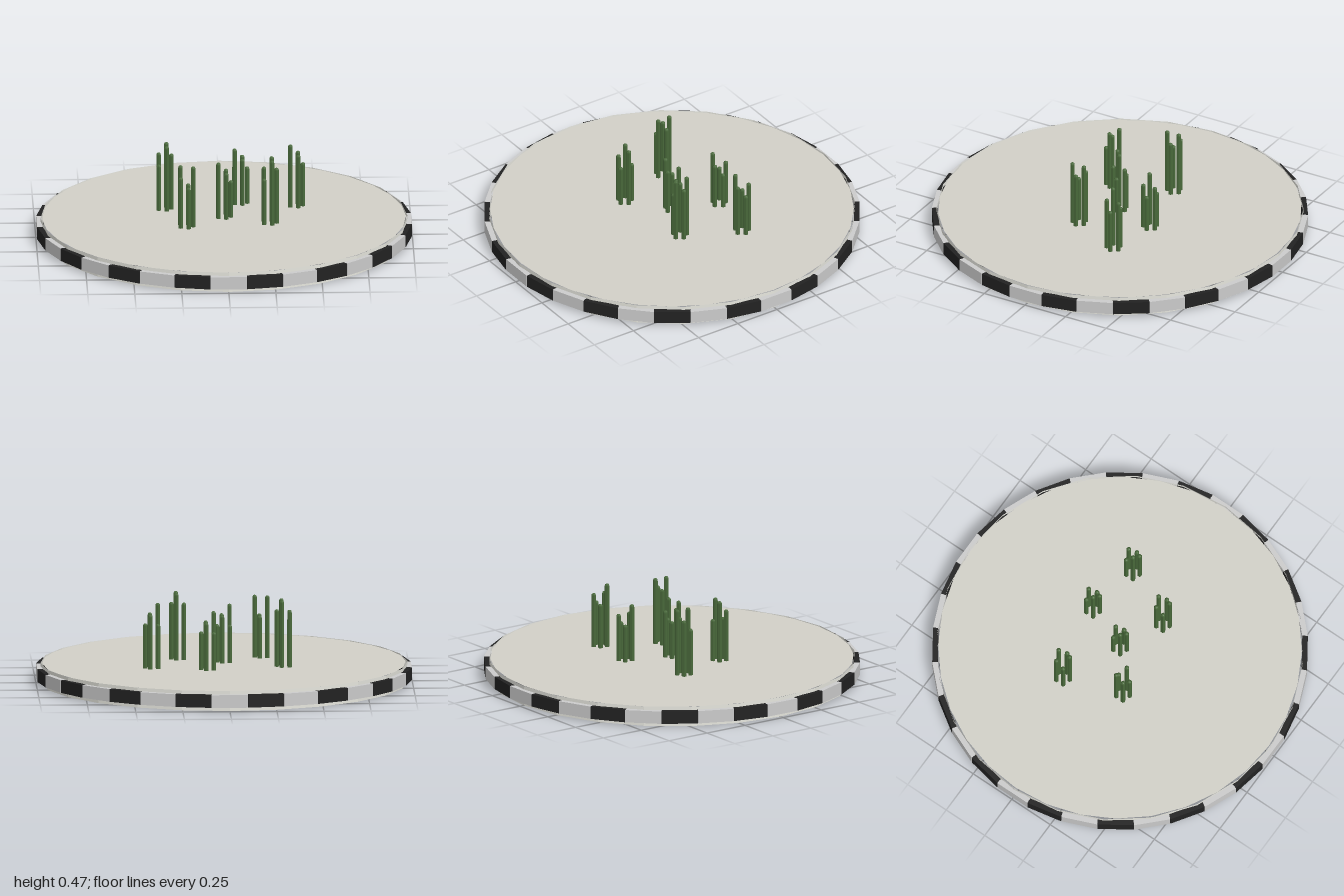
import * as THREE from 'three';

const paint = (color, extra = {}) => new THREE.MeshStandardMaterial({ color, ...extra });

export function createModel() {
  const root = new THREE.Group();
  const add = (name, geometry, material, parent = root) => {
    const mesh = new THREE.Mesh(geometry, material);
    mesh.name = name;
    parent.add(mesh);
    return mesh;
  };

  const RIM_HEIGHT = 0.107;

  // Thin open rim around the disc
  const rim = new THREE.CylinderGeometry(0.975, 0.975, RIM_HEIGHT, 24, 1, true);
  add('rim', rim, paint(0xe6e6de, { side: THREE.DoubleSide, flatShading: true })).position.y = RIM_HEIGHT / 2;

  // Ground surface and its dark underside
  const disc = new THREE.CircleGeometry(0.966, 32);
  const ground = add('ground', disc, paint(0xd2d0c8));
  ground.rotation.x = -Math.PI / 2;
  ground.position.y = 0.105;
  const underside = add('groundUnderside', disc, paint(0x314420));
  underside.rotation.x = Math.PI / 2;
  underside.position.y = 0.1;

  // Alternating light and dark panels set into the rim
  const panels = new THREE.Group();
  panels.name = 'rimPanels';
  root.add(panels);
  const COUNT = 32, RADIUS = 0.981;
  const panelShape = new THREE.BoxGeometry(0.194, 0.068, 0.029);
  const light = paint(0xd8d8d8), dark = paint(0x222222);
  for (let i = 0; i < COUNT; i++) {
    const a = (i / COUNT) * Math.PI * 2;
    const panel = add(i % 2 ? 'darkPanel' : 'lightPanel', panelShape, i % 2 ? dark : light, panels);
    panel.position.set(Math.sin(a) * RADIUS, 0.0545, Math.cos(a) * RADIUS);
    panel.rotation.y = a;
  }

  // A stem is a six-sided column with a domed tip
  const stemGeometry = (height, r = 0.0135) => {
    const profile = [new THREE.Vector2(0, 0), new THREE.Vector2(r, 0)];
    for (let k = 0; k <= 4; k++) {
      const t = (k / 4) * Math.PI / 2;
      profile.push(new THREE.Vector2(k === 4 ? 0 : r * Math.cos(t), height - r + r * Math.sin(t)));
    }
    return new THREE.LatheGeometry(profile, 6);
  };

  // Clusters of five stems: x, z, top of the shortest stem, height phase
  const green = paint(0x48683a, { flatShading: true });
  const clusters = [
    [0, 0, 0.31, 0],
    [0.24, 0.11, 0.36, 1],
    [-0.205, 0.163, 0.335, 2],
    [0.387, -0.188, 0.347, 0],
    [-0.313, -0.15, 0.36, 1],
    [0.092, -0.24, 0.31, 0],
  ];
  const BASE = 0.102;
  for (const [x, z, lowest, phase] of clusters) {
    const cluster = new THREE.Group();
    cluster.name = 'stemCluster';
    cluster.position.set(x, BASE, z);
    root.add(cluster);
    for (let i = 0; i < 5; i++) {
      const a = (i / 5) * Math.PI * 2;
      const top = lowest + 0.053 * ((i + phase) % 3);
      add('stem', stemGeometry(top - BASE), green, cluster)
        .position.set(Math.cos(a) * 0.037, 0, Math.sin(a) * 0.037);
    }
  }
  return root;
}
